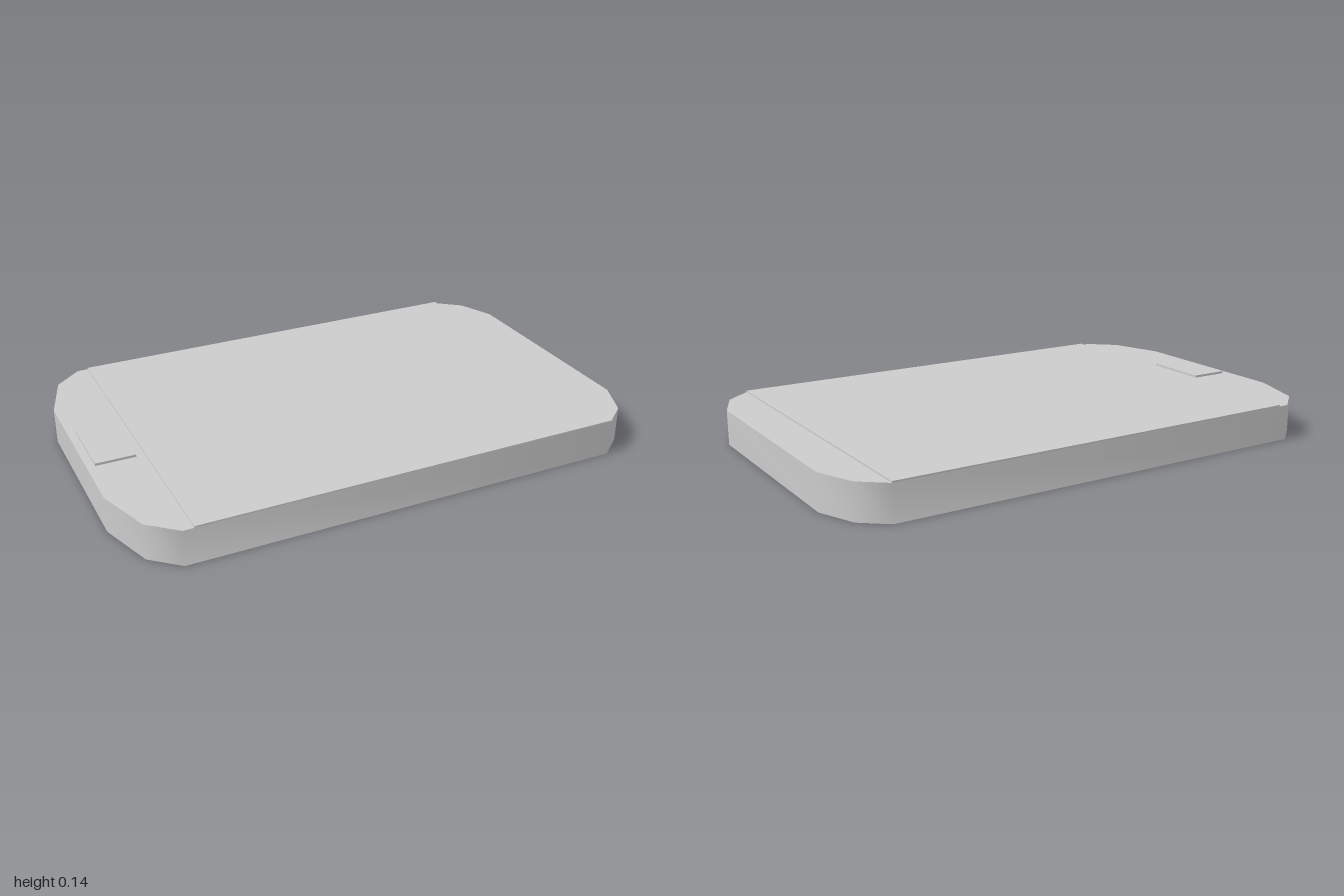
import * as THREE from 'three';
import { toCreasedNormals } from 'three/addons/utils/BufferGeometryUtils.js';

const BODY_H = 0.135;

export function createModel() {
  const model = new THREE.Group();
  const material = new THREE.MeshStandardMaterial({ color: 0xcccccc });

  function add(name, geometry) {
    const mesh = new THREE.Mesh(geometry, material);
    mesh.name = name;
    model.add(mesh);
  }

  // flat raised plate resting on the body top
  function plate(name, x0, x1, halfDepth, top) {
    const h = top - BODY_H;
    const geometry = new THREE.BoxGeometry(x1 - x0, h, halfDepth * 2);
    geometry.translate((x0 + x1) / 2, BODY_H + h / 2, 0);
    add(name, geometry);
  }

  // slab body: half outline mirrored across the long axis, sides shaded smooth
  const half = [[1, 0.425], [0.94, 0.568], [0.845, 0.645], [-0.83, 0.645], [-0.932, 0.555], [-1, 0.345]];
  const mirrored = half.map(([x, y]) => [x, -y]).reverse();
  const outline = [...half, ...mirrored].map(([x, y]) => new THREE.Vector2(x, y));
  const body = new THREE.ExtrudeGeometry(new THREE.Shape(outline), { depth: BODY_H, bevelEnabled: false });
  body.rotateX(-Math.PI / 2);
  add('body', toCreasedNormals(body, 1));

  // screen spans the full depth, button sits on one end
  plate('screen', -0.79, 0.845, 0.645, 0.141);
  plate('button', -0.97, -0.822, 0.13, 0.144);

  return model;
}
